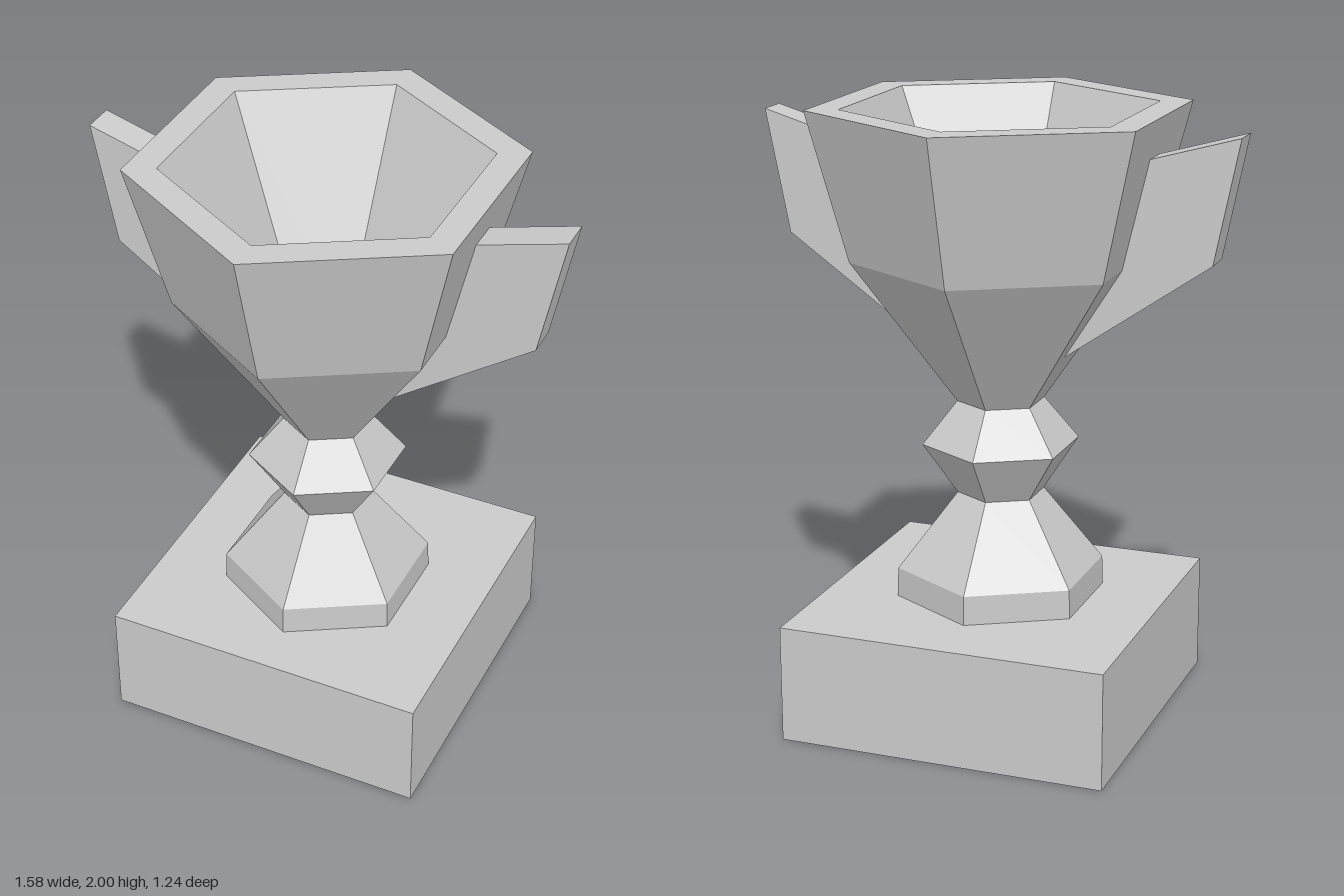
import * as THREE from 'three';

const material = new THREE.MeshStandardMaterial({ color: 0xcccccc, flatShading: true });

function addMesh(parent, name, geometry) {
  const mesh = new THREE.Mesh(geometry, material);
  mesh.name = name;
  parent.add(mesh);
  return mesh;
}

// Six-sided turned part from [radius, height] pairs, corners on the z axis
function hexLathe(profile) {
  return new THREE.LatheGeometry(profile.map(([r, y]) => new THREE.Vector2(r, y)), 6);
}

// Flat wing-shaped handle; side is +1 (left) or -1 (right)
function handleGeometry(side) {
  const outline = [[0.2, 1.196], [0.71, 1.553], [0.79, 1.953], [0.47, 1.861], [0.38, 1.53]];
  const shape = new THREE.Shape(outline.map(([x, y]) => new THREE.Vector2(side * x, y)));
  const thickness = 0.106;
  return new THREE.ExtrudeGeometry(shape, { depth: thickness, bevelEnabled: false })
    .translate(0, 0, -thickness / 2 - 0.002);
}

export function createModel() {
  const trophy = new THREE.Group();
  trophy.name = 'trophy';

  // Square plinth, set slightly back
  const plinth = addMesh(trophy, 'plinth', new THREE.BoxGeometry(1.08, 0.386, 1.08));
  plinth.position.set(0, 0.193, -0.027);

  // Flared foot and faceted knob
  addMesh(trophy, 'foot', hexLathe([[0.345, 0.386], [0.342, 0.482], [0.143, 0.735]]));
  addMesh(trophy, 'knob', hexLathe([[0.143, 0.735], [0.258, 0.903], [0.143, 1.045]]));

  // Bowl: outer wall, flat rim, inner wall and floor
  addMesh(trophy, 'bowl', hexLathe([
    [0.143, 1.045], [0.485, 1.515], [0.618, 2], [0.51, 2], [0.13, 1.28], [0, 1.28],
  ]));

  // Handles on both sides
  addMesh(trophy, 'leftHandle', handleGeometry(1));
  addMesh(trophy, 'rightHandle', handleGeometry(-1));

  return trophy;
}
